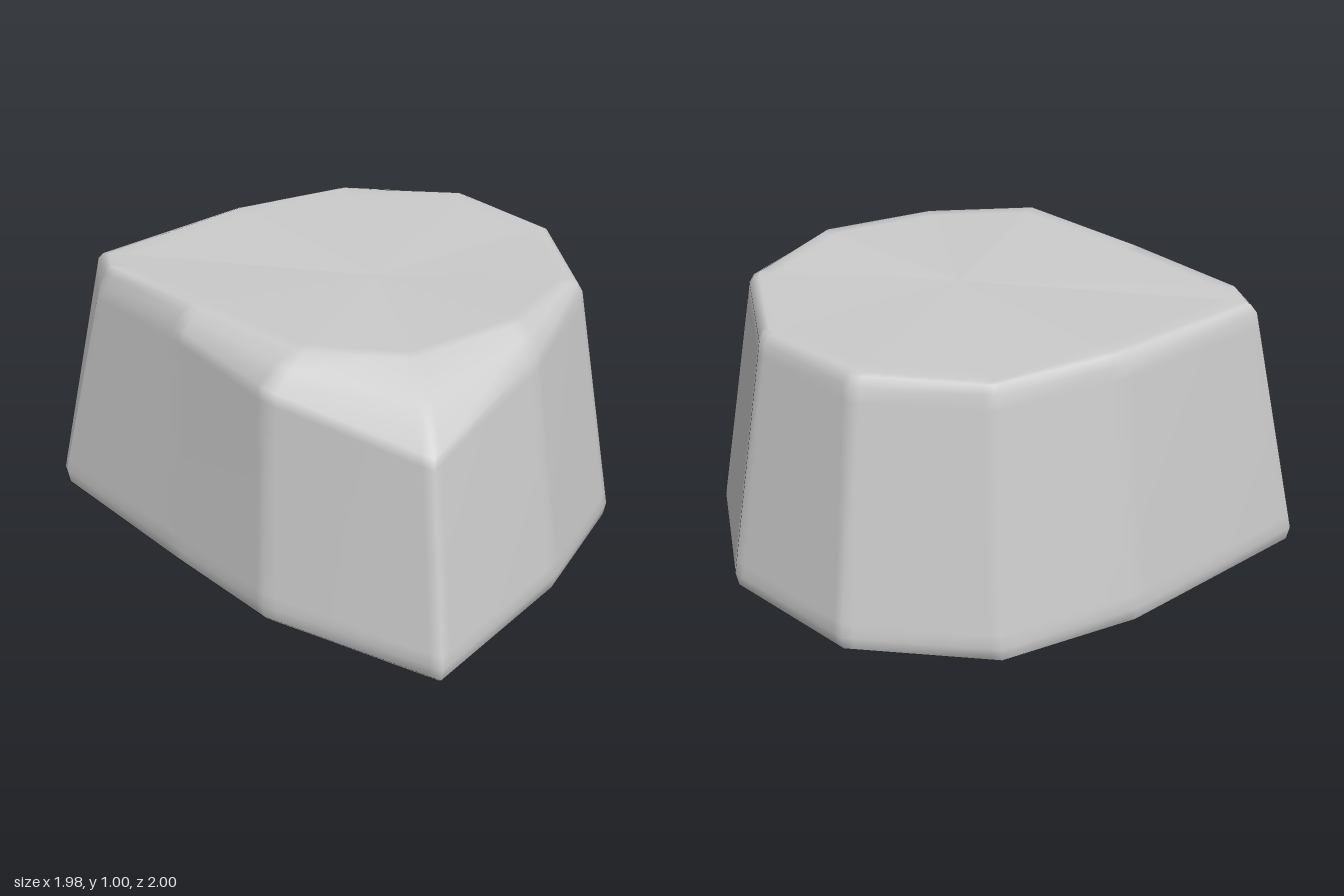
import * as THREE from 'three';

// One entry per corner, clockwise seen from above:
// base [x, z], shoulder [x, y, z] where the wall ends, rim [x, y, z] of the top
const corners = [
  { base: [-0.99, -0.46], shoulder: [-0.81, 0.95, -0.46], rim: [-0.77, 0.98, -0.43] },
  { base: [-0.33, -0.85], shoulder: [-0.27, 0.95, -0.745], rim: [-0.25, 0.99, -0.71] },
  { base: [0.16, -1.0], shoulder: [0.16, 0.95, -0.865], rim: [0.16, 0.98, -0.83] },
  { base: [0.67, -0.84], shoulder: [0.6, 0.95, -0.73], rim: [0.575, 0.99, -0.7] },
  { base: [0.99, -0.4], shoulder: [0.855, 0.95, -0.37], rim: [0.82, 0.985, -0.36] },
  { base: [0.99, 0.13], shoulder: [0.855, 0.95, 0.08], rim: [0.82, 0.99, 0.07] },
  { base: [0.68, 0.55], shoulder: [0.6, 0.91, 0.43], rim: [0.55, 1.0, 0.36] },
  { base: [0.18, 1.0], shoulder: [0.17, 0.79, 0.82], rim: [0.16, 0.98, 0.5] },
  { base: [-0.36, 0.55], shoulder: [-0.33, 0.9, 0.48], rim: [-0.21, 1.0, 0.42] },
  { base: [-0.63, 0.14], shoulder: [-0.57, 0.92, 0.07], rim: [-0.51, 0.995, 0.04] },
  { base: [-0.985, -0.43], shoulder: [-0.815, 0.88, -0.36], rim: [-0.77, 0.985, -0.32] },
];

const v = (p) => new THREE.Vector3(...p);

// Ring of corner points, each with a close neighbour on both sides to keep the facets flat
function ring(fn) {
  const pts = corners.map(fn);
  const n = pts.length;
  return pts.flatMap((p, i) => [
    p.clone().lerp(pts[(i + n - 1) % n], 0.07),
    p,
    p.clone().lerp(pts[(i + 1) % n], 0.07),
  ]);
}

function loft(rings) {
  const n = rings[0].length;
  const index = [];
  for (let r = 0; r < rings.length - 1; r++) {
    for (let i = 0; i < n; i++) {
      const a = r * n + i, b = r * n + (i + 1) % n;
      index.push(a, a + n, b, b, a + n, b + n);
    }
  }
  const geometry = new THREE.BufferGeometry().setFromPoints(rings.flat());
  geometry.setIndex(index);
  geometry.computeVertexNormals();
  return geometry;
}

export function createModel() {
  const group = new THREE.Group();
  group.name = 'rock';

  const baseAt = (y, s) => ring((c) => new THREE.Vector3(c.base[0] * s, y, c.base[1] * s));
  const wallAt = (t) => ring((c) =>
    new THREE.Vector3(c.base[0], 0.07, c.base[1]).lerp(v(c.shoulder), t));
  const topCentre = new THREE.Vector3(0.15, 0.98, -0.1);
  const topAt = (t) => ring((c) => v(c.rim).lerp(topCentre, t));

  // Rounded edge between wall and top
  const bevel = ring((c) => {
    const p = v(c.shoulder).lerp(v(c.rim), 0.5);
    p.y += 0.012;
    return p;
  });

  const rings = [
    baseAt(0, 0.001), baseAt(0, 0.9), baseAt(0, 0.965), baseAt(0.02, 0.99), // underside
    wallAt(0), wallAt(0.06), wallAt(0.94), wallAt(1), // wall
    bevel, topAt(0), topAt(0.08), topAt(0.999), // top
  ];
  const body = new THREE.Mesh(loft(rings), new THREE.MeshStandardMaterial({ color: 0xcccccc }));
  body.name = 'rockBody';
  group.add(body);
  return group;
}
